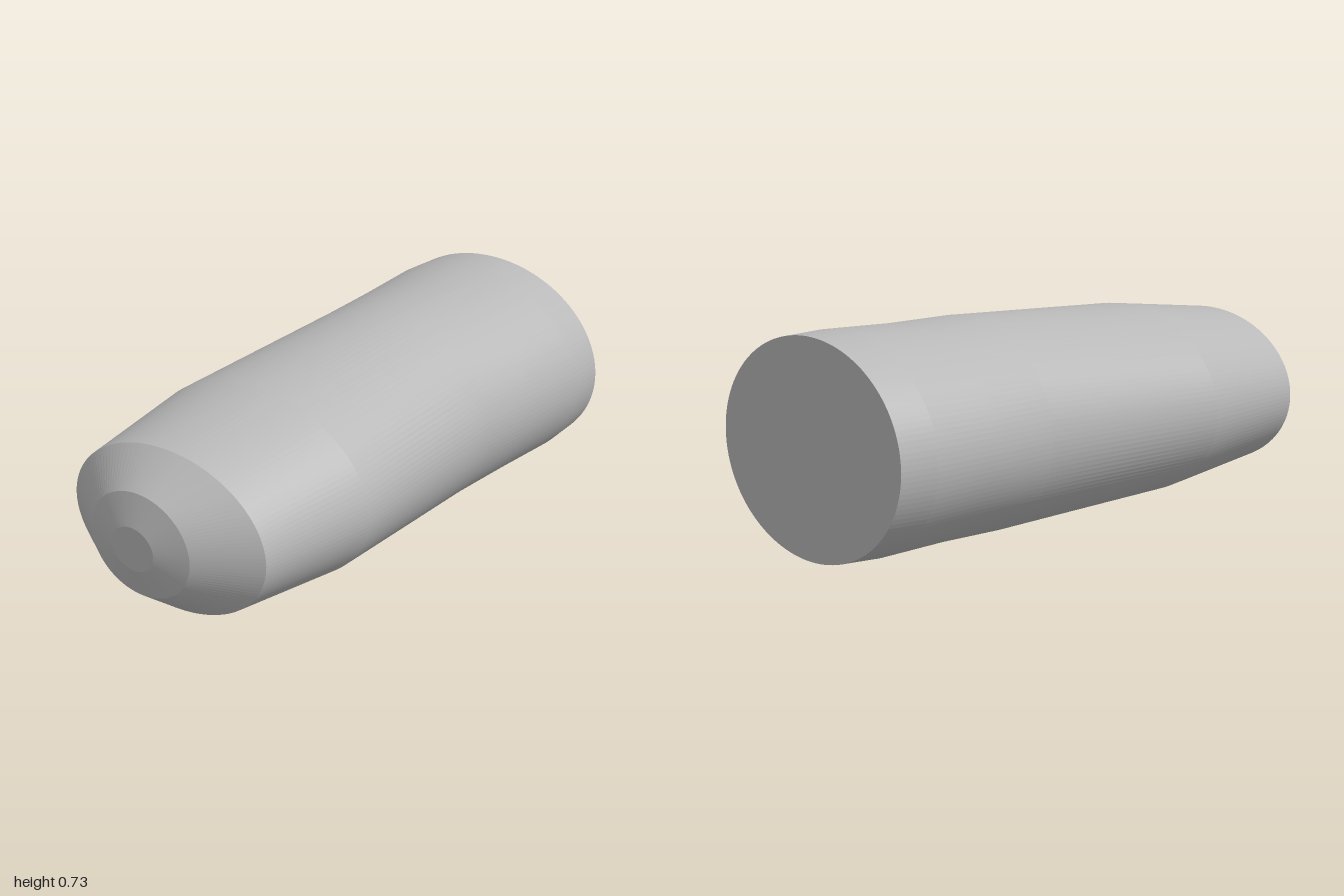
import * as THREE from 'three';

const SIDES = 128;
const CENTRE_Y = 0.369;

// Elliptical cross-sections: z, half width, half height
const BODY = [
  [0.83, 0.4, 0.281],
  [0.385, 0.46, 0.333],
  [-0.35, 0.427, 0.363],
  [-0.6, 0.446, 0.36],
  [-0.86, 0.461, 0.367],
  [-1, 0.453, 0.361],
];
const NOSE = [
  [1, 0.087, 0.075],
  [0.965, 0.206, 0.179],
  BODY[0],
];

// Skin the sections from front to back, optionally closing either end
function loft(sections, capFront, capBack) {
  const positions = [];
  const index = [];
  for (const [z, rx, ry] of sections) {
    for (let j = 0; j < SIDES; j++) {
      const a = (j / SIDES) * Math.PI * 2;
      positions.push(rx * Math.cos(a), ry * Math.sin(a), z);
    }
  }
  for (let i = 0; i < sections.length - 1; i++) {
    for (let j = 0; j < SIDES; j++) {
      const k = (j + 1) % SIDES;
      const a = i * SIDES + j, b = i * SIDES + k;
      const c = a + SIDES, d = b + SIDES;
      index.push(a, c, b, b, c, d);
    }
  }
  const last = (sections.length - 1) * SIDES;
  for (let j = 1; j < SIDES - 1; j++) {
    if (capFront) index.push(0, j, j + 1);
    if (capBack) index.push(last, last + j + 1, last + j);
  }
  const geometry = new THREE.BufferGeometry();
  geometry.setAttribute('position', new THREE.Float32BufferAttribute(positions, 3));
  geometry.setIndex(index);
  geometry.computeVertexNormals();
  return geometry;
}

export function createModel() {
  const group = new THREE.Group();
  group.name = 'taperedCapsule';
  const grey = new THREE.MeshStandardMaterial({ color: 0xb8b8b8, flatShading: true });
  grey.name = 'grey';

  const add = (name, geometry) => {
    const mesh = new THREE.Mesh(geometry, grey);
    mesh.name = name;
    mesh.position.y = CENTRE_Y;
    group.add(mesh);
  };

  add('body', loft(BODY, false, true)); // waisted barrel with a flat back
  add('nose', loft(NOSE, true, false)); // blunt stepped tip
  return group;
}
